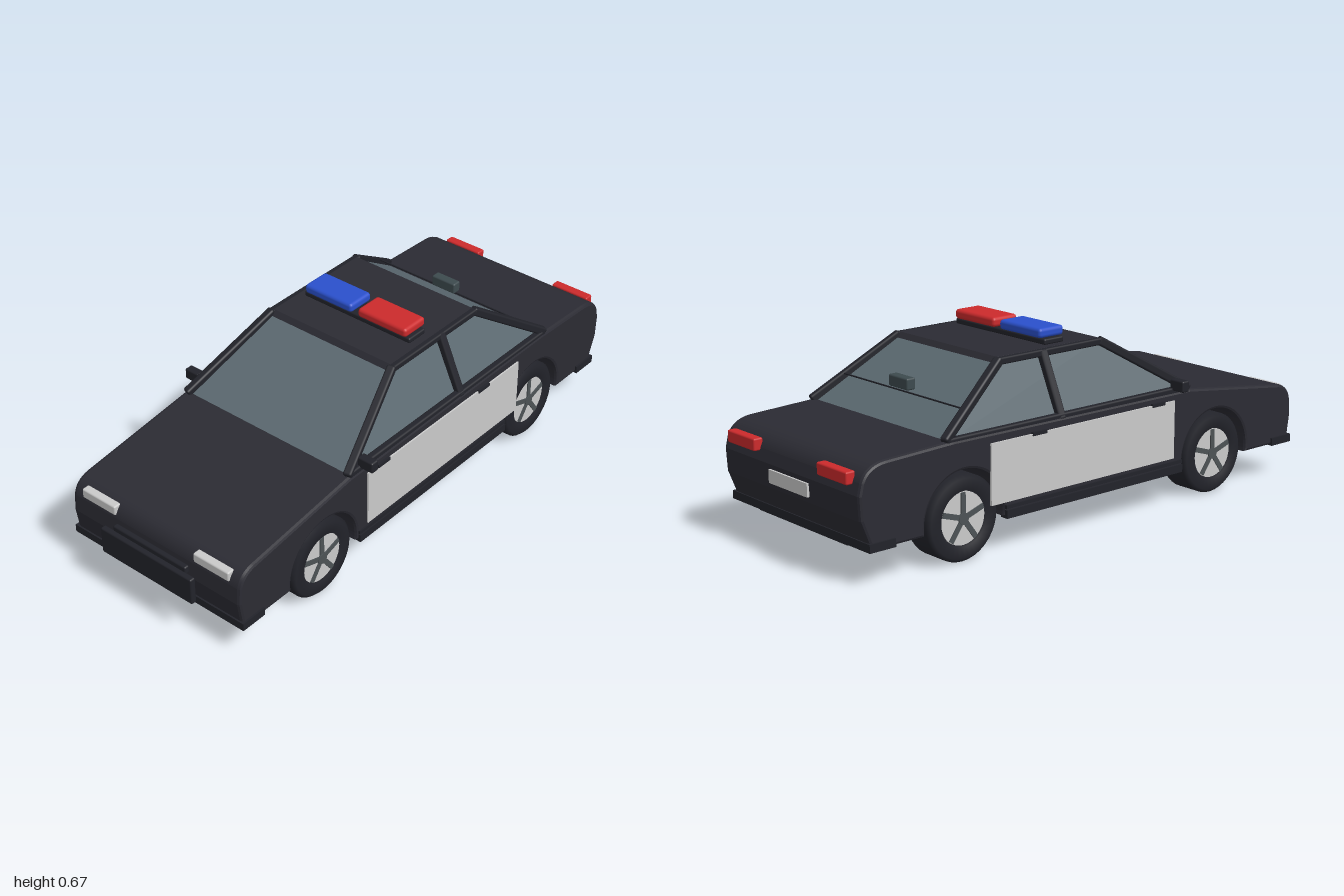
import * as THREE from 'three';
import { RoundedBoxGeometry } from 'three/addons/geometries/RoundedBoxGeometry.js';

const paint = (name, color) => Object.assign(new THREE.MeshStandardMaterial({ color }), { name });

export function createModel() {
  const car = new THREE.Group();
  car.name = 'patrolCar';
  const body = paint('darkPaint', 0x2b2b33);
  const trim = paint('blackTrim', 0x22232a);
  const glass = paint('glass', 0x5c6a71);
  const pale = paint('paleGrey', 0xcacaca);
  const spokeGrey = paint('spokeGrey', 0x4c5255);
  const red = paint('red', 0xcc2a2c);
  const blue = paint('blue', 0x2a50cc);
  const teal = paint('darkTeal', 0x3d4a4e);

  const add = (name, geo, mat, x = 0, y = 0, z = 0, parent = car) => {
    const m = new THREE.Mesh(geo, mat);
    m.name = name;
    m.position.set(x, y, z);
    parent.add(m);
    return m;
  };
  const box = (name, mat, w, h, d, x, y, z) => add(name, new THREE.BoxGeometry(w, h, d), mat, x, y, z);
  const soft = (name, mat, w, h, d, x, y, z, r = 0.006) =>
    add(name, new RoundedBoxGeometry(w, h, d, 2, r), mat, x, y, z);
  // Square bar between two points
  const bar = (name, a, b, w, h = w) => {
    const p = new THREE.Vector3(...a), q = new THREE.Vector3(...b);
    const m = add(name, new RoundedBoxGeometry(w, h, p.distanceTo(q) + w * 0.6, 1, w * 0.25), trim);
    m.position.copy(p).lerp(q, 0.5);
    m.lookAt(q);
    return m;
  };
  // Tapered block: [halfWidth, frontZ, backZ, y] for bottom and top
  const frustum = (name, mat, lo, hi) => {
    const g = new THREE.BoxGeometry(2, 2, 2), p = g.attributes.position;
    for (let i = 0; i < p.count; i++) {
      const [w, front, back, y] = p.getY(i) < 0 ? lo : hi;
      p.setXYZ(i, p.getX(i) * w, y, p.getZ(i) > 0 ? front : back);
    }
    g.computeVertexNormals();
    return add(name, g, mat);
  };

  // Lower body: side profile with wheel arches, extruded across the width
  const wheelR = 0.144, archR = 0.162, wheelZ = [-0.575, 0.56];
  const s = new THREE.Shape();
  s.moveTo(0.945, 0.12);
  s.lineTo(0.96, 0.22);
  s.lineTo(0.955, 0.28);
  s.quadraticCurveTo(0.945, 0.33, 0.89, 0.34);
  s.lineTo(0.43, 0.4);
  s.lineTo(-0.62, 0.407);
  s.lineTo(-0.88, 0.397);
  s.quadraticCurveTo(-0.955, 0.393, -0.975, 0.34);
  s.lineTo(-0.985, 0.3);
  s.lineTo(-0.98, 0.22);
  s.lineTo(-0.94, 0.12);
  const a = Math.asin((wheelR - 0.12) / archR);
  for (const z of wheelZ) s.absarc(z, wheelR, archR, Math.PI + a, -a, true);
  s.closePath();
  const shell = new THREE.ExtrudeGeometry(s, {
    depth: 0.712, bevelThickness: 0.012, bevelSize: 0.01, bevelOffset: -0.01, bevelSegments: 2, curveSegments: 20,
  });
  shell.translate(0, 0, -0.356).rotateY(-Math.PI / 2);
  add('bodyShell', shell, body);
  box('floor', trim, 0.48, 0.022, 1.88, 0, 0.118, 0);

  // Lower bumper lips
  box('frontLip', trim, 0.75, 0.028, 0.1, 0, 0.132, 0.905);
  box('rearLip', trim, 0.75, 0.028, 0.1, 0, 0.132, -0.905);

  // Cabin
  frustum('windows', glass, [0.348, 0.43, -0.65, 0.395], [0.25, 0.1, -0.35, 0.6]);
  frustum('roof', body, [0.262, 0.11, -0.36, 0.594], [0.255, 0.095, -0.345, 0.612]);
  bar('rearWindowSeam', [-0.315, 0.487, -0.541], [0.315, 0.487, -0.541], 0.005);
  soft('rearCamera', teal, 0.1, 0.04, 0.035, 0, 0.515, -0.535);

  for (const side of [-1, 1]) {
    const base = 0.352 * side, top = 0.262 * side;
    bar('frontPillar', [base, 0.405, 0.425], [top, 0.6, 0.1], 0.03);
    bar('middlePillar', [base, 0.4, -0.16], [top, 0.6, -0.16], 0.03);
    bar('rearPillar', [base, 0.41, -0.64], [top, 0.6, -0.35], 0.03);
    bar('roofRail', [top, 0.6, 0.1], [top, 0.6, -0.35], 0.024);
    bar('beltRail', [base, 0.402, 0.42], [base, 0.402, -0.63], 0.026);

    // Door panel, handles and sill
    box('doorPanel', pale, 0.008, 0.205, 0.822, 0.37 * side, 0.27, -0.062);
    for (const z of [-0.27, 0.27]) box('doorHandle', trim, 0.012, 0.012, 0.06, 0.371 * side, 0.372, z);
    box('sill', trim, 0.03, 0.028, 0.8, 0.361 * side, 0.126, -0.01);
    box('sillStep', trim, 0.02, 0.012, 0.8, 0.364 * side, 0.15, -0.01);

    // Mirror
    soft('mirror', trim, 0.062, 0.04, 0.032, 0.382 * side, 0.426, 0.362);

    // Lamps
    soft('headlight', pale, 0.15, 0.036, 0.03, 0.247 * side, 0.307, 0.942);
    soft('tailLight', red, 0.155, 0.042, 0.035, 0.247 * side, 0.35, -0.982);

    // Wheels
    for (const z of wheelZ) {
      const wheel = new THREE.Group();
      wheel.name = 'wheel';
      wheel.position.set(0.3 * side, wheelR, z);
      wheel.rotation.y = side * Math.PI / 2;
      car.add(wheel);
      const tyre = [[0, -0.06], [0.13, -0.06], [0.144, -0.048], [0.144, 0.048], [0.132, 0.06], [0.092, 0.06], [0.088, 0.045], [0, 0.045]];
      const tyreGeo = new THREE.LatheGeometry(tyre.map(([r, y]) => new THREE.Vector2(r, y)), 36);
      add('tyre', tyreGeo.rotateX(Math.PI / 2), trim, 0, 0, 0, wheel);
      add('rim', new THREE.CylinderGeometry(0.088, 0.088, 0.008, 36).rotateX(Math.PI / 2), pale, 0, 0, 0.05, wheel);
      for (let i = 0; i < 5; i++) {
        const spoke = add('spoke', new THREE.BoxGeometry(0.018, 0.086, 0.008).translate(0, 0.043, 0), spokeGrey, 0, 0, 0.054, wheel);
        spoke.rotation.z = i * Math.PI * 2 / 5;
      }
      add('hub', new THREE.CylinderGeometry(0.02, 0.02, 0.012, 16).rotateX(Math.PI / 2), spokeGrey, 0, 0, 0.054, wheel);
    }
  }

  // Push bar and rear plate
  soft('pushBar', trim, 0.4, 0.1, 0.022, 0, 0.205, 0.989);
  soft('pushBarTop', trim, 0.32, 0.03, 0.02, 0, 0.258, 0.972);
  for (const x of [-0.12, 0.12]) box('pushBarMount', trim, 0.03, 0.04, 0.05, x, 0.2, 0.96);
  box('rearPlate', pale, 0.21, 0.045, 0.012, 0, 0.262, -0.985);

  // Roof beacon bar
  soft('beaconBase', trim, 0.46, 0.02, 0.085, 0, 0.622, -0.078);
  soft('blueBeacon', blue, 0.207, 0.034, 0.108, -0.118, 0.65, -0.08, 0.012);
  soft('redBeacon', red, 0.207, 0.034, 0.108, 0.116, 0.65, -0.08, 0.012);
  return car;
}
